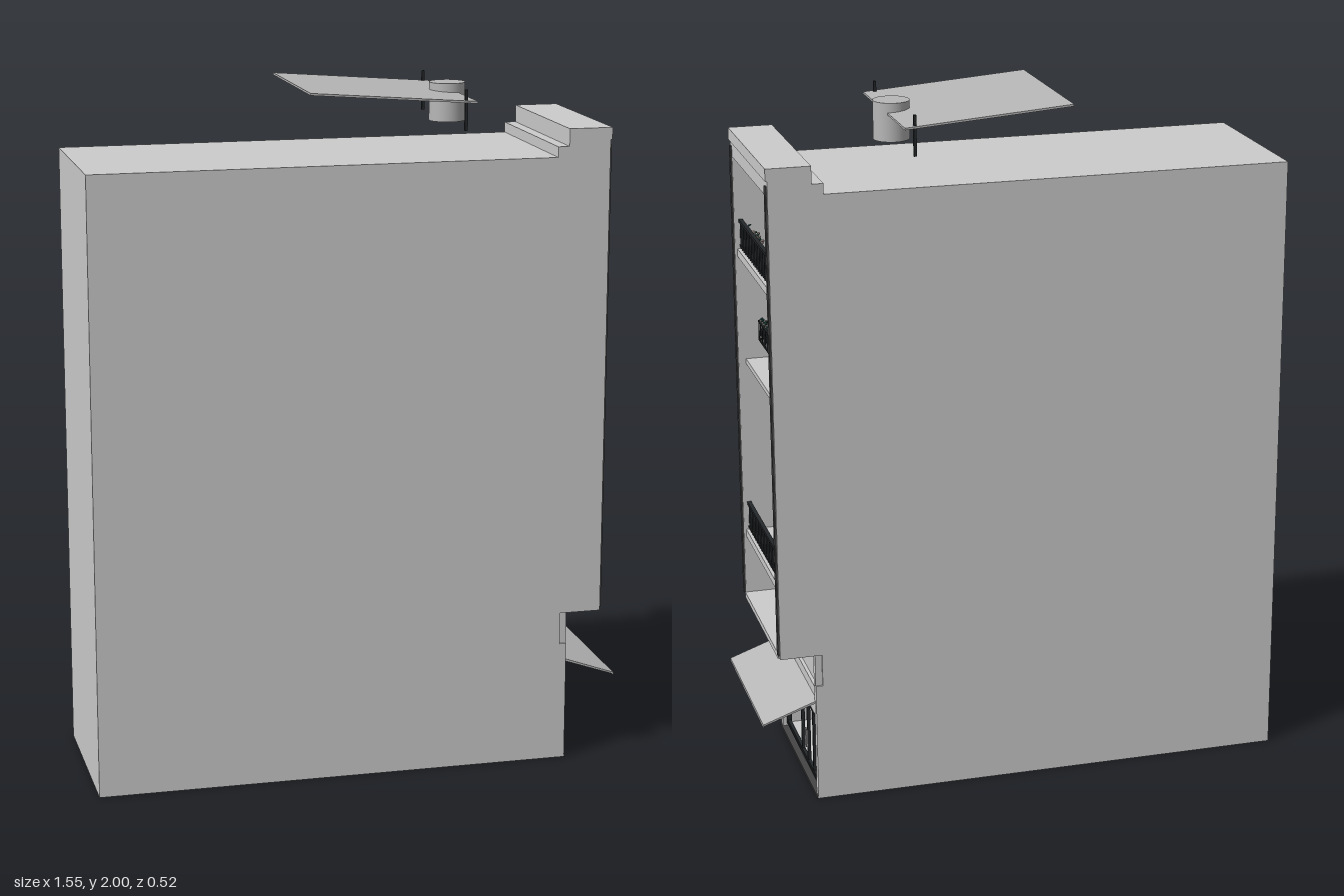
import * as THREE from 'three';

const mat = (name, color, side = THREE.FrontSide) => {
  const m = new THREE.MeshStandardMaterial({ color, side });
  m.name = name;
  return m;
};

export function createModel() {
  const wall = mat('wall', 0xcccccc);
  const sheet = mat('sheet metal', 0xb8b8b8);
  const glass = mat('window glass', 0x2b4a53);
  const transomGlass = mat('transom glass', 0x587681);
  const frame = mat('dark frame', 0x24282a);
  const trim = mat('grey trim', 0x454545);
  const leaf = mat('leaves', 0x2f5a52);
  const petal = mat('petals', 0xc9b8b0);
  const handleMat = mat('handles', 0x999999);

  const root = new THREE.Group();
  root.name = 'townhouse';
  const group = (name, parent = root) => {
    const g = new THREE.Group();
    g.name = name;
    parent.add(g);
    return g;
  };
  // Box given by its limits on each axis
  const box = (name, m, x0, x1, y0, y1, z0, z1, parent = root) => {
    const b = new THREE.Mesh(new THREE.BoxGeometry(x1 - x0, y1 - y0, z1 - z0), m);
    b.position.set((x0 + x1) / 2, (y0 + y1) / 2, (z0 + z1) / 2);
    b.name = name;
    parent.add(b);
    return b;
  };
  // Side silhouette extruded across the width
  const extrude = (name, m, points, z0, z1) => {
    const shape = new THREE.Shape(points.map(p => new THREE.Vector2(...p)));
    const geo = new THREE.ExtrudeGeometry(shape, { depth: z1 - z0, bevelEnabled: false });
    geo.translate(0, 0, z0);
    const mesh = new THREE.Mesh(geo, m);
    mesh.name = name;
    root.add(mesh);
    return mesh;
  };

  // Core with the shop recess, and side walls framing the facade
  const W = 0.26, IN = 0.236, FACE = 0.605;
  extrude('body', wall, [[-0.775, 0], [FACE, 0], [FACE, 0.018], [0.46, 0.018], [0.46, 0.23],
    [FACE, 0.23], [FACE, 1.8], [-0.775, 1.8]], -IN, IN);
  for (const s of [-1, 1]) {
    const z0 = s > 0 ? IN : -W, z1 = s > 0 ? W : -IN;
    extrude('sideWall', wall, [[-0.775, 0], [0.62, 0], [0.62, 0.355], [0.6, 0.355], [0.6, 0.45],
      [0.722, 0.45], [0.722, 1.8], [-0.775, 1.8]], z0, z1);
    box('sideBracket', wall, 0.6, 0.62, 0.355, 0.45, s > 0 ? 0.232 : -0.255, s > 0 ? 0.255 : -0.232);
    box('edgeStrip', trim, 0.72, 0.727, 0.46, 1.83, s > 0 ? 0.238 : -0.255, s > 0 ? 0.255 : -0.238);
  }
  extrude('parapet', wall, [[0.567, 1.8], [0.722, 1.8], [0.722, 1.88], [0.6, 1.88], [0.6, 1.83], [0.567, 1.83]], -W, W);
  box('parapetBand', wall, 0.715, 0.727, 1.845, 1.88, -W, W);
  box('plinth', trim, 0.6, 0.624, 0, 0.008, -W, W);

  // Floor slabs and ledges in the recess
  box('lowerSlab', wall, 0.6, 0.724, 0.445, 0.462, -IN, IN);
  for (const y of [0.605, 1.47]) {
    box('balconySlab', wall, 0.6, 0.715, y + 0.035, y + 0.058, -IN, IN);
    box('balconyUnderside', wall, 0.6, 0.68, y, y + 0.035, -IN, IN);
  }
  box('ledge', wall, 0.6, 0.7, 1.18, 1.195, -IN, IN);
  box('smallLedge', wall, 0.6, 0.64, 1.455, 1.47, -IN, IN);

  // Framed opening with evenly spaced mullions
  const frameRect = (g, y0, y1, z0, z1, t, x0, x1) => {
    box('rail', frame, x0, x1, y1 - t, y1, z0, z1, g);
    box('rail', frame, x0, x1, y0, y0 + t, z0, z1, g);
    box('stile', frame, x0, x1, y0, y1, z0, z0 + t, g);
    box('stile', frame, x0, x1, y0, y1, z1 - t, z1, g);
  };
  const paneWindow = (y0, y1, z0, z1) => {
    const g = group('casementWindow');
    const split = y1 - 0.032;
    box('pane', glass, FACE - 0.001, FACE + 0.004, y0, split, z0, z1, g);
    box('transom', transomGlass, FACE - 0.001, FACE + 0.004, split, y1, z0, z1, g);
    frameRect(g, y0, y1, z0, z1, 0.006, FACE, FACE + 0.012);
    box('crossbar', frame, FACE, FACE + 0.012, split - 0.004, split + 0.004, z0, z1, g);
    for (let i = 1; i < 4; i++) {
      const z = z0 + (z1 - z0) * i / 4;
      box('mullion', frame, FACE, FACE + 0.012, y0, split, z - 0.004, z + 0.004, g);
    }
    for (const f of [0.21, 0.71]) {
      const z = z0 + (z1 - z0) * f;
      box('handle', handleMat, FACE + 0.012, FACE + 0.016, y0 + 0.05, y0 + 0.07, z - 0.0015, z + 0.0015, g);
    }
    box('sill', frame, FACE, FACE + 0.02, y0 - 0.006, y0, z0 - 0.005, z1 + 0.005, g);
  };
  for (const [y0, y1] of [[0.464, 0.598], [1.01, 1.177], [1.29, 1.455]]) {
    paneWindow(y0, y1, 0.022, 0.218);
    paneWindow(y0, y1, -0.218, -0.022);
  }

  // Balcony doors and railings
  for (const y of [0.665, 1.53]) {
    const g = group('balconyDoors');
    box('pane', glass, FACE - 0.001, FACE + 0.004, y, y + 0.235, -0.224, 0.224, g);
    frameRect(g, y, y + 0.235, -0.224, 0.224, 0.006, FACE, FACE + 0.012);
    for (const z of [-0.112, 0, 0.112])
      box('mullion', frame, FACE, FACE + 0.01, y, y + 0.235, z - 0.003, z + 0.003, g);
    for (const z of [-0.1, 0.1])
      box('handle', handleMat, FACE + 0.01, FACE + 0.015, y + 0.09, y + 0.13, z - 0.002, z + 0.002, g);
    const r = group('balconyRailing');
    box('handrail', frame, 0.698, 0.71, y + 0.078, y + 0.086, -IN, IN, r);
    box('bottomRail', frame, 0.7, 0.708, y + 0.004, y + 0.01, -IN, IN, r);
    for (let i = 0; i <= 20; i++) {
      const z = -0.228 + 0.456 * i / 20;
      box('baluster', frame, 0.702, 0.707, y, y + 0.08, z - 0.0022, z + 0.0022, r);
    }
  }

  // Flower boxes: scattered leaves and petals
  let seed = 7;
  const rnd = () => (seed = (seed * 16807) % 2147483647) / 2147483647;
  const blob = new THREE.IcosahedronGeometry(1, 0);
  const flowers = (x, y, z0, z1, h) => {
    const g = group('flowerBox');
    box('planter', frame, x - 0.012, x + 0.012, y - 0.018, y, z0, z1, g);
    for (let i = 0; i < 90; i++) {
      const m = new THREE.Mesh(blob, i % 2 ? leaf : petal);
      m.name = i % 2 ? 'leaf' : 'flower';
      m.scale.setScalar(0.0025 + 0.0025 * rnd());
      m.position.set(x + (rnd() - 0.5) * 0.03, y + rnd() * h, z0 + (z1 - z0) * rnd());
      g.add(m);
    }
  };
  flowers(0.685, 1.565, 0.035, 0.215, 0.038);
  flowers(0.685, 0.7, -0.215, -0.035, 0.038);
  flowers(0.645, 1.285, 0.03, 0.215, 0.042);
  const rack = group('windowRack');
  for (const y of [1.255, 1.31]) box('rackRail', frame, 0.66, 0.665, y, y + 0.005, 0.025, 0.22, rack);
  for (let i = 0; i <= 8; i++) {
    const z = 0.027 + 0.19 * i / 8;
    box('rackBar', frame, 0.661, 0.664, 1.255, 1.312, z - 0.0015, z + 0.0015, rack);
  }
  for (const z of [0.027, 0.217]) box('rackArm', frame, FACE, 0.664, 1.255, 1.26, z - 0.002, z + 0.002, rack);

  // Shop front
  const shop = group('shopFront');
  frameRect(shop, 0.018, 0.23, -0.23, 0.23, 0.007, 0.595, 0.609);
  for (const z of [0.022, -0.058, -0.135])
    box('doorStile', frame, 0.597, 0.607, 0.018, 0.23, z - 0.003, z + 0.003, shop);
  box('bottomRail', frame, 0.597, 0.607, 0.018, 0.03, -0.23, 0.23, shop);
  for (const z of [-0.05, -0.066])
    box('doorHandle', handleMat, 0.607, 0.613, 0.075, 0.13, z - 0.002, z + 0.002, shop);
  box('signBand', wall, 0.6, 0.615, 0.245, 0.335, -0.23, 0.23);

  // Awning
  extrude('awning', sheet, [[0.615, 0.298], [0.77, 0.244], [0.774, 0.238], [0.774, 0.248], [0.615, 0.305]], -0.247, 0.247);

  // Roof canopy, posts and water tank
  extrude('roofCanopy', sheet, [[-0.145, 1.994], [0.335, 1.957], [0.335, 1.963], [-0.145, 2]], -0.243, 0.243);
  for (const z of [-0.23, 0.23]) box('canopyPost', frame, 0.3, 0.308, 1.88, 1.995, z - 0.004, z + 0.004);
  const tank = new THREE.Mesh(new THREE.CylinderGeometry(0.052, 0.052, 0.11, 32), sheet);
  tank.position.set(0.313, 1.935, 0);
  tank.name = 'waterTank';
  root.add(tank);

  return root;
}
